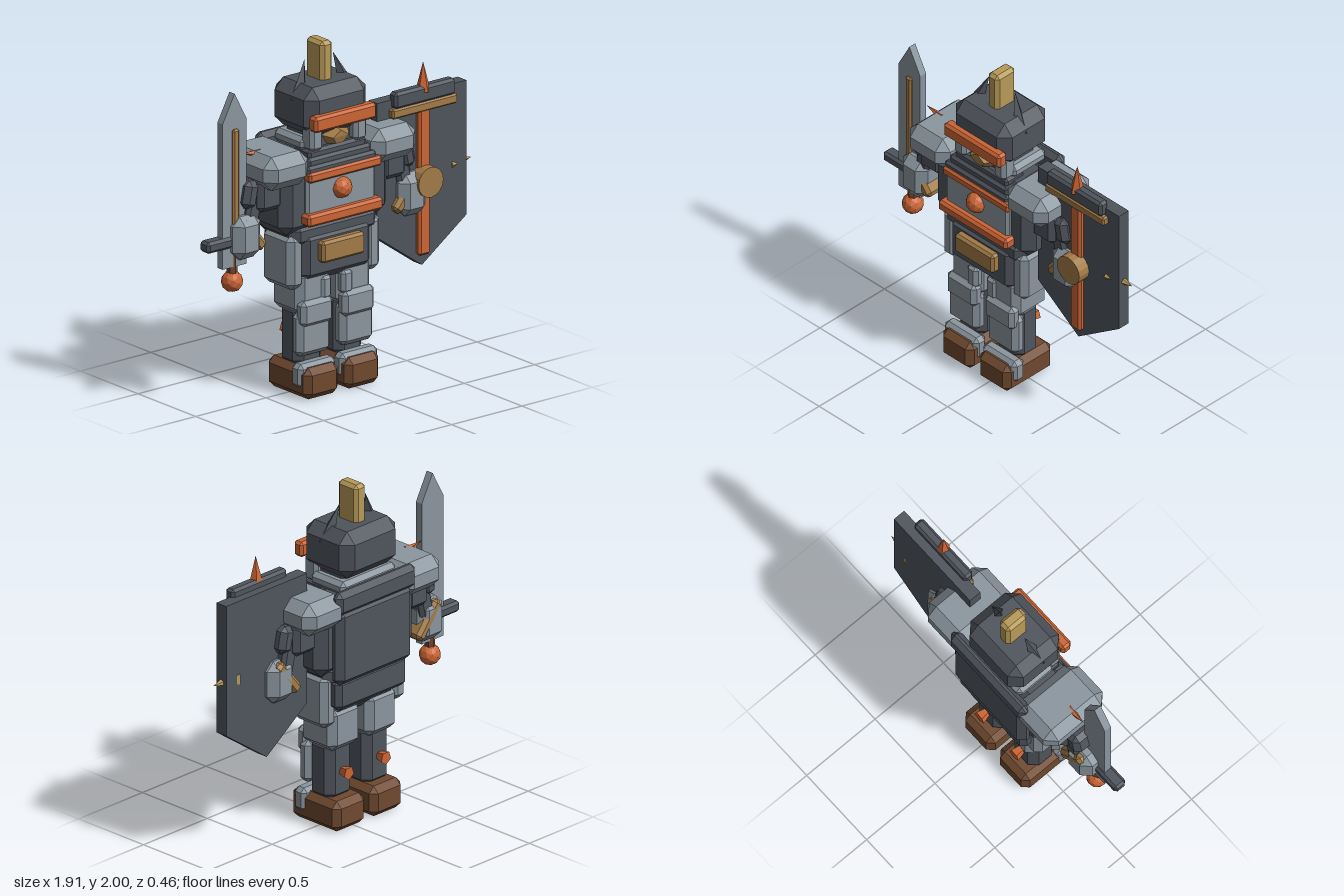
import * as THREE from 'three';
import { ConvexGeometry } from 'three/addons/geometries/ConvexGeometry.js';

const MID = -0.105; // symmetry plane of the body
const mat = (name, color) => {
  const m = new THREE.MeshStandardMaterial({ color });
  m.name = name;
  return m;
};

export function createModel() {
  const root = new THREE.Group();
  root.name = 'armouredKnight';
  const steel = mat('steel', 0x8b969f), dark = mat('darkIron', 0x4f545c), orange = mat('copperOrange', 0xcb6535);
  const bronze = mat('bronze', 0xa27b47), gold = mat('gold', 0xb89a58), brown = mat('bootLeather', 0x70492f);

  const add = (name, geo, material) => {
    const g = geo.index ? geo.toNonIndexed() : geo;
    g.computeVertexNormals(); // faceted look
    const m = new THREE.Mesh(g, material);
    m.name = name;
    root.add(m);
    return m;
  };

  // Chamfered box of size w, h, d
  const bevelBox = (w, h, d, c) => {
    c = Math.min(c, w * 0.45, h * 0.45, d * 0.45);
    const p = [];
    for (const x of [-1, 1]) for (const y of [-1, 1]) for (const z of [-1, 1]) {
      const a = x * w / 2, b = y * h / 2, e = z * d / 2;
      p.push(new THREE.Vector3(a, b - y * c, e - z * c), new THREE.Vector3(a - x * c, b, e - z * c),
        new THREE.Vector3(a - x * c, b - y * c, e));
    }
    return new ConvexGeometry(p);
  };

  // Chamfered box given by its extents
  const slab = (name, m, [x0, x1], [y0, y1], [z0, z1], c = 0.02) => {
    const mesh = add(name, bevelBox(x1 - x0, y1 - y0, z1 - z0, c), m);
    mesh.position.set((x0 + x1) / 2, (y0 + y1) / 2, (z0 + z1) / 2);
    return mesh;
  };

  // Same box on both sides of the body, leaning by angle
  const pair = (name, m, [x0, x1], ys, zs, c, angle = 0) => {
    slab(name + 'Right', m, [x0, x1], ys, zs, c).rotation.z = angle;
    slab(name + 'Left', m, [2 * MID - x1, 2 * MID - x0], ys, zs, c).rotation.z = -angle;
  };

  // Cone from the centre of its base to its tip
  const spike = (name, m, base, tip, r, sides = 5) => {
    const a = new THREE.Vector3(...base), b = new THREE.Vector3(...tip), d = b.clone().sub(a);
    const mesh = add(name, new THREE.ConeGeometry(r, d.length(), sides), m);
    mesh.position.copy(a).add(b).multiplyScalar(0.5);
    mesh.quaternion.setFromUnitVectors(new THREE.Vector3(0, 1, 0), d.normalize());
  };

  const ball = (name, m, r, x, y, z) => add(name, new THREE.IcosahedronGeometry(r, 1), m).position.set(x, y, z);

  // Flat outline extruded from z0 to z1
  const plate = (name, m, pts, z0, z1) => {
    const s = new THREE.Shape(pts.map(p => new THREE.Vector2(...p)));
    add(name, new THREE.ExtrudeGeometry(s, { depth: z1 - z0, bevelEnabled: false }), m).position.z = z0;
  };

  // Head
  slab('helmet', dark, [-0.325, 0.115], [1.5, 1.78], [-0.2, 0.175], 0.062);
  slab('face', dark, [-0.27, 0.06], [1.38, 1.56], [-0.12, 0.11], 0.02);
  slab('neckCollar', steel, [-0.32, 0.11], [1.41, 1.49], [-0.165, 0.1], 0.025);
  slab('browBand', orange, [-0.325, 0.115], [1.55, 1.64], [0.15, 0.218], 0.015);
  slab('crest', gold, [-0.147, -0.063], [1.72, 2], [-0.095, 0.055], 0.02);
  pair('cheekGuard', steel, [-0.305, -0.215], [1.42, 1.57], [0.06, 0.16], 0.02);
  add('noseGuard', new ConvexGeometry([
    [-0.2, 1.49, 0.1], [0, 1.49, 0.1], [-0.16, 1.43, 0.1], [-0.04, 1.43, 0.1], [-0.105, 1.53, 0.1],
    [-0.16, 1.48, 0.17], [-0.05, 1.48, 0.17], [-0.105, 1.515, 0.17], [-0.13, 1.44, 0.16], [-0.08, 1.44, 0.16],
  ].map(p => new THREE.Vector3(...p))), bronze);
  for (const s of [-1, 1])
    spike('helmetHorn', dark, [MID + s * 0.175, 1.68, 0.01], [MID + s * 0.1, 1.9, -0.025], 0.055, 4);

  // Torso
  slab('torso', dark, [-0.49, 0.28], [0.95, 1.4], [-0.16, 0.15], 0.06);
  slab('waist', dark, [-0.415, 0.205], [0.86, 1.02], [-0.15, 0.14], 0.05);
  slab('chestPlate', steel, [-0.35, 0.14], [1.05, 1.28], [0.1, 0.175], 0.015);
  for (let i = 0; i < 3; i++)
    slab('throatGuard', dark, [-0.35 + i * 0.02, 0.14 - i * 0.02], [1.29 + i * 0.04, 1.35 + i * 0.04], [0, 0.185 - i * 0.02], 0.015);
  slab('upperChestBand', orange, [-0.35, 0.165], [1.26, 1.317], [0.12, 0.2], 0.012);
  slab('lowerChestBand', orange, [-0.37, 0.165], [1.01, 1.08], [0.13, 0.215], 0.015);
  ball('chestGem', orange, 0.063, MID, 1.185, 0.17);
  slab('backPlate', dark, [-0.4, 0.19], [0.9, 1.36], [-0.22, -0.12], 0.04);
  slab('backCollar', dark, [-0.415, 0.205], [1.33, 1.47], [-0.23, -0.155], 0.03);
  slab('backSkirt', dark, [-0.38, 0.17], [0.74, 0.93], [-0.19, -0.08], 0.03);
  slab('pelvis', dark, [-0.36, 0.15], [0.66, 0.96], [-0.12, 0.155], 0.05);
  slab('beltBuckle', bronze, [-0.257, 0.047], [0.775, 0.9], [0.13, 0.2], 0.015);

  // Arms
  pair('pauldron', steel, [-0.645, -0.33], [1.26, 1.455], [-0.222, 0.212], 0.06);
  pair('upperArm', dark, [-0.63, -0.46], [1.12, 1.32], [-0.11, 0.11], 0.03);
  pair('elbowGuard', dark, [-0.71, -0.61], [1.15, 1.31], [-0.085, 0.09], 0.03, -0.2);
  pair('forearm', dark, [-0.69, -0.59], [1.02, 1.22], [-0.075, 0.075], 0.02, -0.2);
  pair('wristBand', bronze, [-0.78, -0.53], [0.97, 1.04], [-0.09, 0.09], 0.02, -0.9);
  pair('gauntlet', steel, [-0.79, -0.595], [0.87, 1.12], [-0.09, 0.115], 0.05);
  spike('shoulderSpike', orange, [-0.55, 1.435, 0], [-0.67, 1.455, 0], 0.025);

  // Legs
  pair('hipGuard', steel, [-0.435, -0.32], [0.63, 0.95], [-0.13, 0.13], 0.035);
  pair('thigh', steel, [-0.37, -0.13], [0.47, 0.73], [-0.13, 0.13], 0.04);
  pair('kneeInset', steel, [-0.22, -0.14], [0.54, 0.68], [0.05, 0.145], 0.02);
  pair('kneePlate', steel, [-0.365, -0.14], [0.41, 0.56], [0.08, 0.16], 0.025);
  pair('shinPlate', steel, [-0.375, -0.14], [0.235, 0.49], [0.05, 0.14], 0.03);
  pair('lowerLeg', dark, [-0.35, -0.15], [0.15, 0.52], [-0.09, 0.09], 0.045);
  pair('ankleGuard', steel, [-0.388, -0.12], [0.06, 0.2], [0.07, 0.16], 0.025);
  pair('boot', brown, [-0.372, -0.128], [0, 0.18], [-0.167, 0.202], 0.036);
  for (const s of [-1, 1])
    spike('calfSpur', orange, [MID + s * 0.145, 0.325, -0.142], [MID + s * 0.145, 0.325, 0.02], 0.04);

  // Sword
  plate('blade', steel, [[-0.845, 0.83], [-0.675, 0.83], [-0.675, 1.675], [-0.76, 1.835], [-0.845, 1.675]], 0, 0.045);
  slab('bladeRidge', bronze, [-0.78, -0.736], [0.9, 1.63], [0.02, 0.062], 0.01);
  slab('crossGuard', dark, [-0.96, -0.6], [0.945, 1.01], [-0.02, 0.06], 0.015);
  add('grip', new THREE.CylinderGeometry(0.03, 0.03, 0.2, 6), brown).position.set(-0.758, 0.85, 0.02);
  ball('pommel', orange, 0.062, -0.758, 0.74, 0.02);

  // Shield
  plate('shieldPanel', dark, [[0.25, 1.56], [0.25, 0.78], [0.568, 0.555], [0.885, 0.78], [0.885, 1.56]], -0.025, 0.05);
  slab('shieldStripe', orange, [0.527, 0.608], [0.62, 1.47], [0.03, 0.08], 0.012);
  slab('shieldTopBar', dark, [0.35, 0.78], [1.51, 1.605], [0.025, 0.09], 0.015);
  slab('shieldTrim', bronze, [0.335, 0.797], [1.455, 1.512], [0.03, 0.085], 0.01);
  spike('shieldTopSpike', orange, [0.568, 1.57, 0.06], [0.568, 1.74, 0.06], 0.043);
  spike('shieldSideSpike', gold, [0.78, 1.09, 0.012], [0.95, 1.09, 0.012], 0.052);
  const boss = add('shieldBoss', new THREE.CylinderGeometry(0.088, 0.088, 0.075, 16), bronze);
  boss.rotation.x = Math.PI / 2;
  boss.position.set(0.568, 1.055, 0.0925);

  return root;
}
